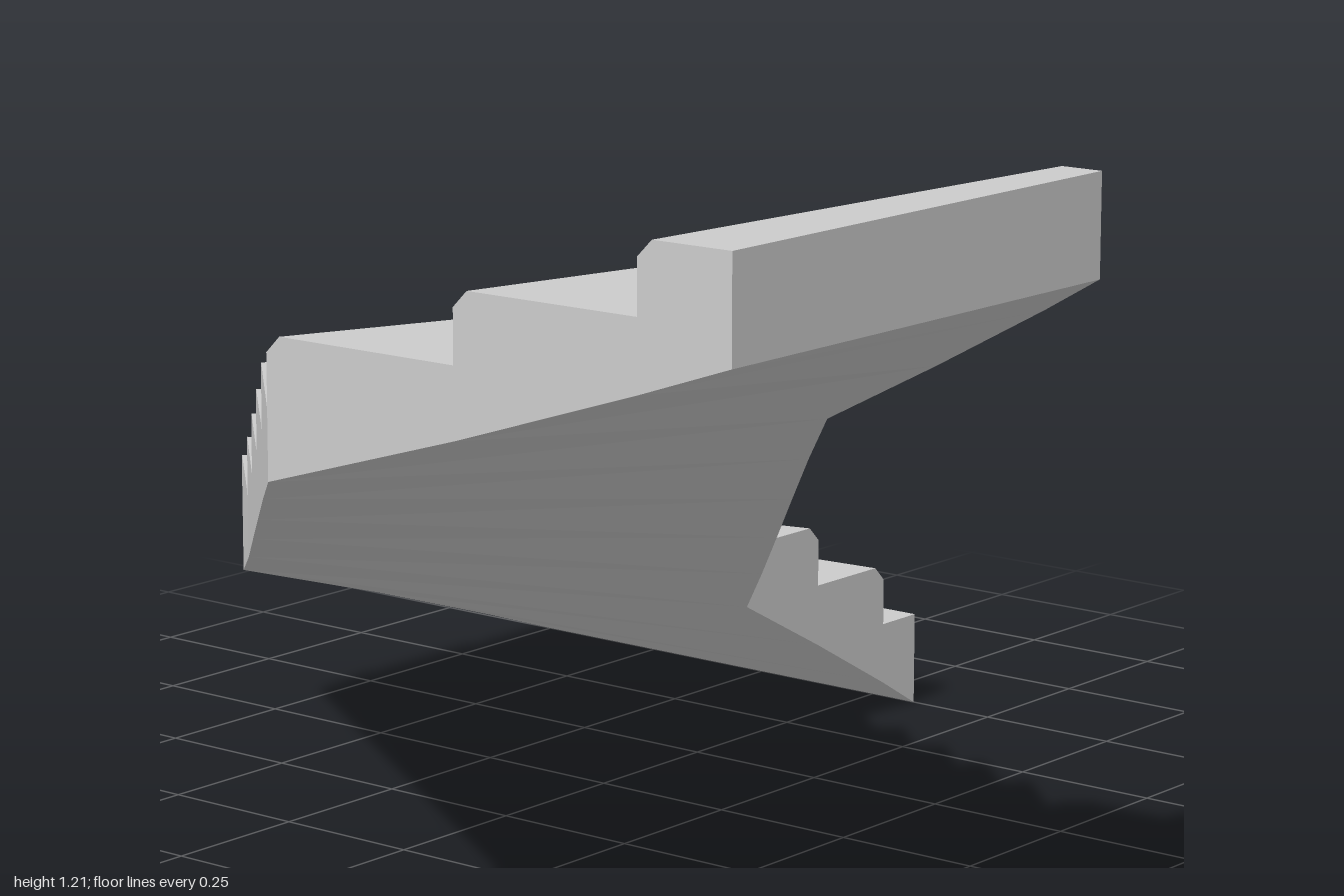
import * as THREE from 'three';

const RISE = 0.105;   // height of one step
const FIRST = 0.16;   // height of the lowest tread
const NOSE = 0.025;   // chamfer on each step edge
const STEPS = 11;

// Riser lines in plan [x, z], from the bottom of the flight to its top end
const outer = [
  [-1, -1], [-1, -0.84], [-1, -0.52], [-1, -0.176], [-0.755, 0.067], [-0.53, 0.292],
  [-0.303, 0.519], [-0.075, 0.747], [0.176, 1], [0.522, 1], [0.842, 1], [1, 1],
];
const inner = [
  [-0.16, -1], [-0.16, -0.907], [-0.16, -0.718], [-0.16, -0.52], [-0.02, -0.38], [0.113, -0.247],
  [0.244, -0.116], [0.377, 0.017], [0.52, 0.16], [0.718, 0.16], [0.907, 0.16], [1, 0.16],
];

// Height of the sloping underside at riser line k
const soffitY = (k) => (k === 0 ? 0 : k === STEPS ? 1.055 : RISE * k - 0.05);

const point = ([x, z], y) => new THREE.Vector3(x, y, z);

// Flat-faced mesh from a list of four-cornered faces
function quadMesh(name, quads, material) {
  const points = quads.flatMap(([a, b, c, d]) => [a, b, c, a, c, d]);
  const geometry = new THREE.BufferGeometry().setFromPoints(points);
  geometry.computeVertexNormals();
  const mesh = new THREE.Mesh(geometry, material);
  mesh.name = name;
  return mesh;
}

// Heights and points along one edge of step k
function edgeOfStep(line, k) {
  const top = FIRST + RISE * k;
  const chamfer = k === 0 ? 0 : NOSE;
  const baseStart = point(line[k], soffitY(k));
  const baseEnd = point(line[k + 1], soffitY(k + 1));
  const run = Math.hypot(line[k + 1][0] - line[k][0], line[k + 1][1] - line[k][1]);
  const baseNose = baseStart.clone().lerp(baseEnd, chamfer / run);
  return {
    baseStart, baseNose, baseEnd,
    foot: point(line[k], k === 0 ? 0 : top - RISE),
    brow: point(line[k], top - chamfer),
    nose: baseNose.clone().setY(top),
    end: point(line[k + 1], top),
  };
}

export function createModel() {
  const group = new THREE.Group();
  group.name = 'windingStaircase';
  const material = new THREE.MeshStandardMaterial({ color: 0xcccccc, flatShading: true });
  const treads = [], noses = [], risers = [], outerSide = [], innerSide = [], soffit = [];

  for (let k = 0; k < STEPS; k++) {
    const o = edgeOfStep(outer, k);
    const i = edgeOfStep(inner, k);
    risers.push([o.foot, o.brow, i.brow, i.foot]);
    treads.push([o.nose, o.end, i.end, i.nose]);
    outerSide.push([o.baseNose, o.baseEnd, o.end, o.nose]);
    innerSide.push([i.nose, i.end, i.baseEnd, i.baseNose]);
    soffit.push([i.baseStart, i.baseEnd, o.baseEnd, o.baseStart]);
    if (k > 0) {
      noses.push([o.brow, o.nose, i.nose, i.brow]);
      outerSide.push([o.baseStart, o.baseNose, o.nose, o.brow]);
      innerSide.push([i.brow, i.nose, i.baseNose, i.baseStart]);
    }
  }

  // Upright face closing the top of the flight
  const o = edgeOfStep(outer, STEPS - 1);
  const i = edgeOfStep(inner, STEPS - 1);
  const topEnd = [[o.baseEnd, i.baseEnd, i.end, o.end]];

  const parts = { treads, noses, risers, outerSide, innerSide, soffit, topEnd };
  for (const [name, quads] of Object.entries(parts)) group.add(quadMesh(name, quads, material));
  return group;
}
